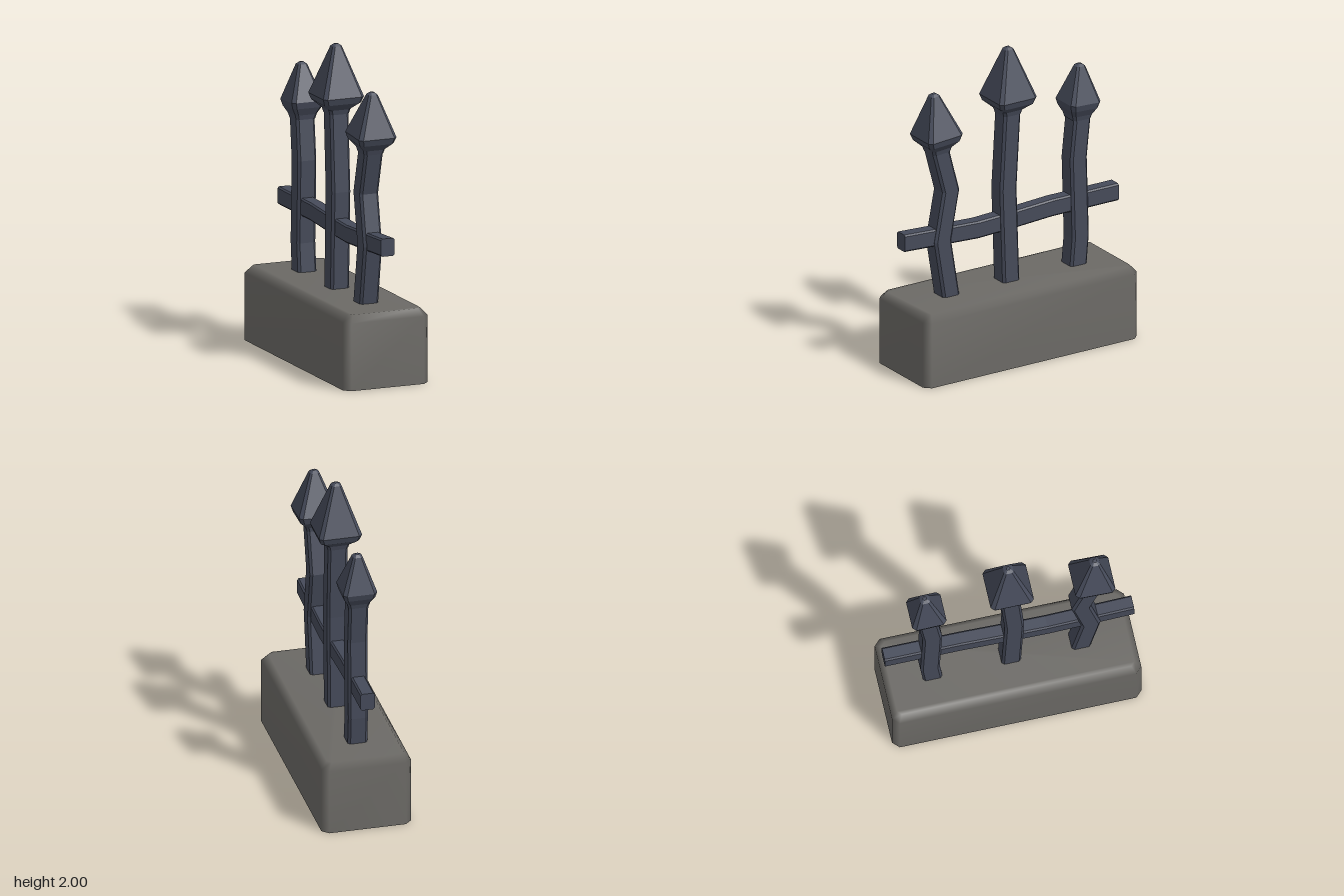
import * as THREE from 'three';

// Square outline with cut corners, counter-clockwise, as [u, v] pairs
function cutSquare(hu, hv, cut) {
  return [
    [hu, -hv + cut], [hu, hv - cut], [hu - cut, hv], [-hu + cut, hv],
    [-hu, hv - cut], [-hu, -hv + cut], [-hu + cut, -hv], [hu - cut, -hv],
  ];
}

// Skin a list of equal-length rings (ordered along the axis), with optional end caps
function loft(rings, capStart = true, capEnd = true) {
  const n = rings[0].length;
  const index = [];
  for (let r = 0; r < rings.length - 1; r++) {
    for (let i = 0; i < n; i++) {
      const j = (i + 1) % n;
      const a = r * n + i, b = r * n + j;
      index.push(a, b, b + n, a, b + n, a + n);
    }
  }
  const last = (rings.length - 1) * n;
  for (let i = 1; i < n - 1; i++) {
    if (capStart) index.push(0, i + 1, i);
    if (capEnd) index.push(last, last + i, last + i + 1);
  }
  const geo = new THREE.BufferGeometry();
  geo.setAttribute('position', new THREE.Float32BufferAttribute(rings.flat(2), 3));
  geo.setIndex(index);
  geo.computeVertexNormals();
  return geo;
}

// Horizontal ring at height y, shifted along z
const level = (y, z, hx, hz, cut) => cutSquare(hz, hx, cut).map(([u, v]) => [v, y, z + u]);

export function createModel() {
  const model = new THREE.Group();
  model.name = 'spikedFence';

  const iron = new THREE.MeshStandardMaterial({ color: 0x454a59, flatShading: true });
  iron.name = 'dark iron';
  const stone = new THREE.MeshStandardMaterial({ color: 0x6b6965, side: THREE.DoubleSide });
  stone.name = 'grey stone';

  const add = (name, geo, mat, parent = model) => {
    const mesh = new THREE.Mesh(geo, mat);
    mesh.name = name;
    parent.add(mesh);
    return mesh;
  };

  // Stone block: softly shaded, bevelled on top, open underneath
  add('stoneBase', loft([
    level(0, 0, 0.283, 0.783, 0.04),
    level(0.425, 0, 0.283, 0.783, 0.04),
    level(0.47, 0, 0.243, 0.745, 0.025),
  ], false, true), stone);

  // Sagging cross rail along z
  const railPath = [[-0.783, 0.88], [-0.3, 0.88], [0.0, 0.863], [0.24, 0.854], [0.5, 0.867], [0.783, 0.882]];
  add('crossRail', loft(railPath.map(([z, y]) =>
    cutSquare(0.045, 0.056, 0.01).map(([u, v]) => [u, y + v, z]))), iron);

  // Bent posts: path of [y, z], then the head's belt position, half width, height and lean
  const posts = [
    { name: 'front', path: [[0.25, 0.415], [0.47, 0.45], [0.84, 0.51], [1.16, 0.45], [1.43, 0.522]],
      belt: [1.54, 0.526], half: 0.126, rise: 0.27, lean: 0.07 },
    { name: 'middle', path: [[0.25, 0.005], [0.47, 0.01], [1.08, 0.03], [1.6, 0]],
      belt: [1.68, 0.001], half: 0.136, rise: 0.32, lean: 0 },
    { name: 'back', path: [[0.25, -0.465], [0.47, -0.484], [0.65, -0.5], [1.17, -0.485], [1.44, -0.513]],
      belt: [1.538, -0.513], half: 0.108, rise: 0.237, lean: -0.045 },
  ];
  for (const { name, path, belt, half, rise, lean } of posts) {
    const post = new THREE.Group();
    post.name = name + 'Spike';
    model.add(post);
    add(name + 'Post', loft(path.map(([y, z]) => level(y, z, 0.062, 0.061, 0.015))), iron, post);

    // Spear head: flared neck, short belt, tapering blunt point
    const head = add(name + 'SpearHead', loft([
      level(-0.115, 0, 0.064, 0.064, 0.015),
      level(-0.085, 0, 0.072, 0.072, 0.016),
      level(-0.04, 0, half * 0.9, half * 0.9, 0.02),
      level(0, 0, half, half, 0.022),
      level(rise - 0.014, 0, 0.03, 0.03, 0.012),
      level(rise, 0, 0.011, 0.011, 0.004),
    ]), iron, post);
    head.position.set(0, belt[0], belt[1]);
    head.rotation.x = lean;
  }

  return model;
}
